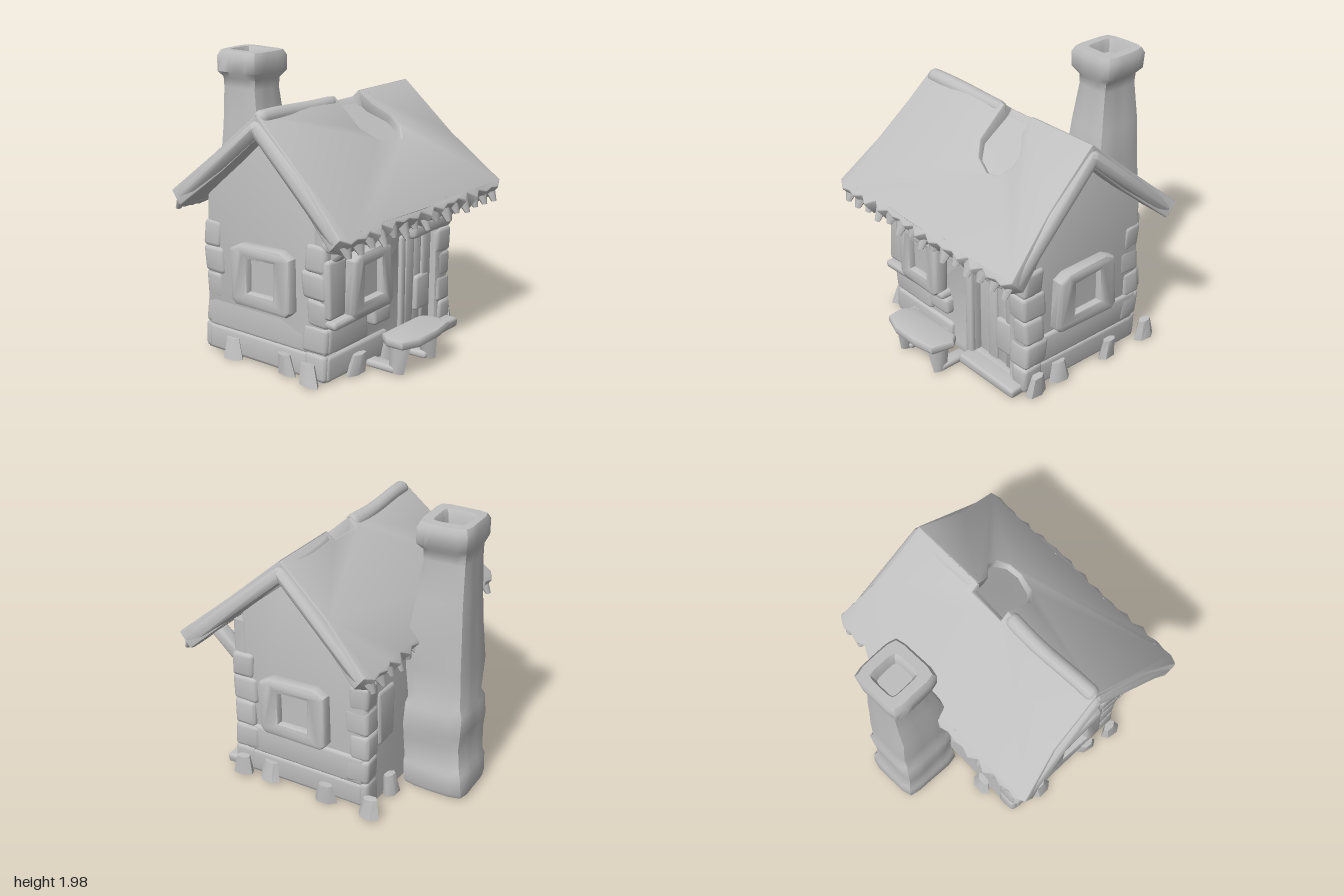
import * as THREE from 'three';
import { toCreasedNormals } from 'three/addons/utils/BufferGeometryUtils.js';
import { RoundedBoxGeometry } from 'three/addons/geometries/RoundedBoxGeometry.js';

const clay = new THREE.MeshStandardMaterial({ color: 0xbfbfbf, side: THREE.DoubleSide });
clay.name = 'clay grey';

// small smooth wobble that gives every part a hand-made surface
function wobble(geo, amp) {
  const p = geo.attributes.position;
  for (let i = 0; i < p.count; i++) {
    const x = p.getX(i), y = p.getY(i), z = p.getZ(i);
    p.setXYZ(i,
      x + amp * Math.sin(9 * y + 7 * z + 1),
      y + amp * 0.6 * Math.sin(8 * x + 6 * z),
      z + amp * Math.sin(7 * x + 10 * y + 2));
  }
  return geo;
}

export function createModel() {
  const house = new THREE.Group();
  house.name = 'cottage';

  function add(name, geo, amp = 0.008, parent = house) {
    const mesh = new THREE.Mesh(toCreasedNormals(wobble(geo, amp), 0.8), clay);
    mesh.name = name;
    parent.add(mesh);
    return mesh;
  }
  // rounded block from its limits, with an optional turn about z
  function block(name, x0, x1, y0, y1, z0, z1, r = 0.025, turn = 0) {
    const w = x1 - x0, h = y1 - y0, d = z1 - z0;
    const g = new RoundedBoxGeometry(w, h, d, 2, Math.min(r, w / 2.1, h / 2.1, d / 2.1));
    g.rotateZ(turn).translate((x0 + x1) / 2, (y0 + y1) / 2, (z0 + z1) / 2);
    return add(name, g);
  }
  const poly = pts => new THREE.Shape(pts.map(p => new THREE.Vector2(p[0], p[1])));
  const rect = (x0, x1, y0, y1) => [[x0, y0], [x1, y0], [x1, y1], [x0, y1]];
  function extrude(pts, holes, depth, bevel = 0.015) {
    const s = poly(pts);
    holes.forEach(h => s.holes.push(poly(h)));
    return new THREE.ExtrudeGeometry(s, {
      depth: depth - 2 * bevel, bevelEnabled: true, bevelSize: bevel,
      bevelThickness: bevel, bevelOffset: -bevel, bevelSegments: 2,
    }).translate(0, 0, bevel);
  }

  // gabled body, drawn as (-z, y) and extruded along x
  const body = extrude([[-0.5, 0.02], [0.47, 0.02], [0.46, 1.16], [-0.11, 1.64], [-0.5, 1.29]], [], 1.41, 0.02);
  body.rotateY(Math.PI / 2).translate(-0.705, 0, 0);
  add('body', body, 0.006);

  // front wall with door and window openings
  const front = extrude(rect(-0.705, 0.705, 0.02, 1.2),
    [rect(0.17, 0.55, 0.09, 0.83), rect(-0.42, -0.21, 0.53, 0.78)], 0.1);
  add('frontWall', front.translate(0, 0, 0.475), 0.005);

  // door planks, step and lintel
  for (let i = 0; i < 4; i++)
    block('doorPlank', 0.165 + i * 0.097, 0.265 + i * 0.097, 0.07, 0.84, 0.48, 0.515 + 0.012 * (i % 2), 0.015);
  block('doorPanel', 0.36, 0.53, 0.2, 0.46, 0.49, 0.54);
  block('doorStep', 0.12, 0.7, 0.02, 0.09, 0.5, 0.68, 0.02);
  block('doorLintel', 0.14, 0.6, 0.82, 0.93, 0.52, 0.68, 0.035, 0.04);
  block('doorPost', 0.1, 0.17, 0.06, 0.84, 0.53, 0.6);
  block('eaveBeam', -0.2, 0.6, 0.92, 1.01, 0.54, 0.72, 0.035);
  block('eaveBeam', -0.72, -0.2, 0.91, 1.0, 0.53, 0.66, 0.035, -0.03);

  // window frames: front and both gables
  function windowFrame(name, w, h) {
    const g = new THREE.Group();
    g.name = name;
    const o = 0.04, a = w / 2, b = h / 2;
    const outer = [[-a, -b + o], [-a + o, -b], [a - o, -b], [a, -b + o], [a - 0.01, b - o], [a - 0.09, b], [-a + 0.09, b], [-a + 0.01, b - o]];
    add('frame', extrude(outer, [rect(-a * 0.42, a * 0.42, -b * 0.5, b * 0.55)], 0.12, 0.03), 0.008, g);
    const pane = new THREE.BoxGeometry(w * 0.6, h * 0.7, 0.03);
    add('pane', pane.translate(0, 0, 0.055), 0.002, g);
    house.add(g);
    return g;
  }
  windowFrame('frontWindow', 0.44, 0.45).position.set(-0.32, 0.65, 0.56);
  block('windowSill', -0.72, -0.08, 0.41, 0.47, 0.52, 0.66, 0.025);
  block('shutter', -0.72, -0.54, 0.47, 0.87, 0.53, 0.62);
  block('flowerBox', -0.26, -0.06, 0.29, 0.42, 0.54, 0.64, 0.03);
  for (const s of [-1, 1]) {
    const w = windowFrame('sideWindow', 0.53, 0.44);
    w.position.set(s * 0.665, 0.645, 0.075);
    w.rotation.y = s * Math.PI / 2;
  }

  // corner stones and low wall courses
  for (const s of [-1, 1]) {
    for (let i = 0; i < 5; i++) {
      const y = 0.03 + i * 0.185, k = 0.03 * (i % 2);
      const xa = s * 0.725 - (s > 0 ? 0.14 + k : 0), xb = xa + 0.14 + k;
      block('frontCornerStone', xa, xb, y, y + 0.19, 0.42 - k, 0.59, 0.03);
      block('backCornerStone', s * 0.64 - 0.075, s * 0.64 + 0.075, y, y + 0.19, -0.48, -0.33 + k, 0.03);
    }
    block('sideCourse', s * 0.69 - 0.03, s * 0.69 + 0.03, 0.03, 0.21, -0.44, 0.5);
    block('sideCourse', s * 0.69 - 0.025, s * 0.69 + 0.025, 0.2, 0.42, -0.44, 0.5);
    block('backPanel', s * 0.46 - 0.11, s * 0.46 + 0.11, 0.45, 0.85, -0.485, -0.42, 0.03);
    // slanted brace under the front eave
    const brace = new RoundedBoxGeometry(0.1, 0.3, 0.09, 2, 0.025);
    add('eaveBrace', brace.rotateX(0.85).translate(s * 0.62, 0.96, 0.67));
  }
  block('frontCourse', -0.7, -0.05, 0.03, 0.21, 0.54, 0.6);
  block('frontCourse', -0.7, -0.28, 0.22, 0.41, 0.54, 0.6);

  // roof slabs: local y runs up the slope, local z points out of it
  const THICK = 0.13, PITCH = 0.71, RIDGE_Y = 1.77, RIDGE_Z = 0.105;
  function roofSide(name, length, notch, back) {
    const pts = [[0.82, 0], ...notch, [-0.82, 0], [-0.84, -length * 0.5], [-0.92, -length + 0.04]];
    const n = 26;
    for (let i = 1; i < n; i++)
      pts.push([-0.92 + 1.84 * i / n, -length + (i % 2 ? -0.02 : 0.015) + 0.012 * Math.sin(i * 2.3)]);
    pts.push([0.92, -length + 0.04], [0.84, -length * 0.5]);
    const g = extrude(pts, [], THICK, 0.012);
    g.translate(0, 0, -THICK);
    // mitre the top edge so that both slabs meet at the ridge
    const p = g.attributes.position;
    for (let i = 0; i < p.count; i++)
      if (p.getY(i) > -0.03) p.setY(i, p.getY(i) + p.getZ(i) * Math.tan(PITCH));
    const place = geo => {
      geo.rotateX(PITCH - Math.PI / 2);
      if (back) geo.rotateY(Math.PI);
      return geo.translate(0, RIDGE_Y, RIDGE_Z);
    };
    add(name, place(g), 0.008);
    // drooping straw tufts along the eave
    for (let i = 0; i < 15; i++) {
      const r = 0.065 + 0.01 * Math.sin(i * 1.7);
      const tuft = new THREE.CylinderGeometry(r, 0.02, 0.15 + 0.04 * Math.sin(i * 2.9), 8);
      tuft.rotateX(0.5).scale(1.1, 1, 0.75);
      tuft.translate(-0.84 + i * 0.12, -length + 0.01, -0.075);
      add('strawTuft', place(tuft), 0.004);
    }
    // rolled gable edges
    for (const s of [-1, 1]) {
      const roll = new THREE.CapsuleGeometry(0.055, length - 0.14, 4, 8);
      roll.rotateZ(s * 0.07).translate(s * 0.835, -length / 2, -0.07);
      add('gableEdge', place(roll), 0.008);
    }
  }
  roofSide('frontRoof', 1.04,
    [[0.25, 0], [0.27, -0.14], [0.36, -0.26], [0.36, -0.36], [0.3, -0.45], [0.2, -0.47], [0.06, -0.41], [-0.02, -0.3], [-0.02, 0]], false);
  // the back slab faces the other way, so its notch is mirrored
  roofSide('backRoof', 0.95, [[0.02, 0], [0.02, -0.08], [-0.25, -0.08], [-0.25, 0]], true);

  // bottom of the roof opening
  const pan = new THREE.PlaneGeometry(0.5, 0.5, 6, 6);
  pan.rotateX(-Math.PI / 2 + 0.6).translate(0.17, 1.545, 0.27);
  add('roofHollow', pan, 0.006);

  // ridge roll, split by the opening
  for (const [a, b, y] of [[-0.82, -0.03, 1.725], [0.26, 0.8, 1.7]]) {
    const roll = new THREE.CapsuleGeometry(0.055, b - a - 0.11, 5, 12, 6);
    add('ridge', roll.rotateZ(Math.PI / 2 - 0.02).translate((a + b) / 2, y, RIDGE_Z));
  }

  // chimney: rounded squares lofted through [y, half width, half depth, centre z]
  const rows = [
    [0.02, 0.001, 0.001, -0.735], [0.02, 0.2, 0.235, -0.735], [0.05, 0.215, 0.245, -0.735], [0.19, 0.215, 0.24, -0.73],
    [0.23, 0.2, 0.23, -0.725], [0.4, 0.2, 0.225, -0.72], [0.5, 0.215, 0.232, -0.725], [0.66, 0.21, 0.232, -0.725],
    [0.71, 0.19, 0.215, -0.72], [0.95, 0.195, 0.222, -0.717], [1.2, 0.185, 0.21, -0.715], [1.45, 0.165, 0.185, -0.728],
    [1.72, 0.14, 0.16, -0.75], [1.79, 0.145, 0.163, -0.75], [1.84, 0.195, 0.19, -0.742], [1.95, 0.198, 0.193, -0.742],
    [1.99, 0.175, 0.175, -0.742], [1.99, 0.11, 0.115, -0.75], [1.96, 0.095, 0.1, -0.755], [1.9, 0.085, 0.09, -0.755],
    [1.9, 0.001, 0.001, -0.755],
  ];
  const N = 24, pos = [], idx = [];
  rows.forEach(([y, hx, hz, cz], r) => {
    for (let i = 0; i < N; i++) {
      const a = (i / N) * Math.PI * 2, c = Math.cos(a), s = Math.sin(a);
      const q = Math.pow(Math.pow(Math.abs(c), 8) + Math.pow(Math.abs(s), 8), -1 / 8);
      pos.push(0.085 + hx * c * q, y, cz + hz * s * q);
      if (r) {
        const j = (i + 1) % N, A = (r - 1) * N + i, B = (r - 1) * N + j, C = r * N + i, D = r * N + j;
        idx.push(A, C, B, B, C, D);
      }
    }
  });
  const chimney = new THREE.BufferGeometry();
  chimney.setAttribute('position', new THREE.Float32BufferAttribute(pos, 3));
  chimney.setIndex(idx);
  add('chimney', chimney, 0.006);

  // bench in front of the window
  const seat = extrude([[-0.36, 0.8], [-0.3, 0.72], [0.14, 0.72], [0.2, 0.78], [0.18, 0.95], [0.02, 0.98], [-0.2, 0.97], [-0.34, 0.92]], [], 0.065, 0.02);
  add('benchSeat', seat.rotateX(Math.PI / 2).translate(0, 0.285, 0));
  for (const [x, s] of [[-0.26, -1], [0.09, 1]]) {
    const leg = new THREE.CylinderGeometry(0.1, 0.055, 0.23, 8);
    add('benchLeg', leg.scale(0.6, 1, 1).rotateZ(s * 0.12).translate(x, 0.135, 0.83));
    block('benchFoot', x - 0.05, x + 0.05, 0.02, 0.07, 0.6, 0.84, 0.02);
  }

  // loose stones around the base
  const stones = [[0.74, 0.28], [0.74, -0.18], [0.77, -0.53], [-0.74, 0.28], [-0.74, -0.2], [-0.77, 0.5],
    [0.76, 0.5], [-0.43, 0.63], [-0.1, 0.64], [0.45, -0.5], [-0.4, -0.5]];
  stones.forEach(([x, z], i) => {
    const onSide = Math.abs(x) > 0.7;
    const g = new THREE.CylinderGeometry(0.055, 0.085, 0.14, 6, 1);
    g.rotateY(i).scale(onSide ? 0.55 : 1, 1, onSide ? 1 : 0.55);
    add('stone', g.translate(x, 0.09, z), 0.016);
  });
  return house;
}
